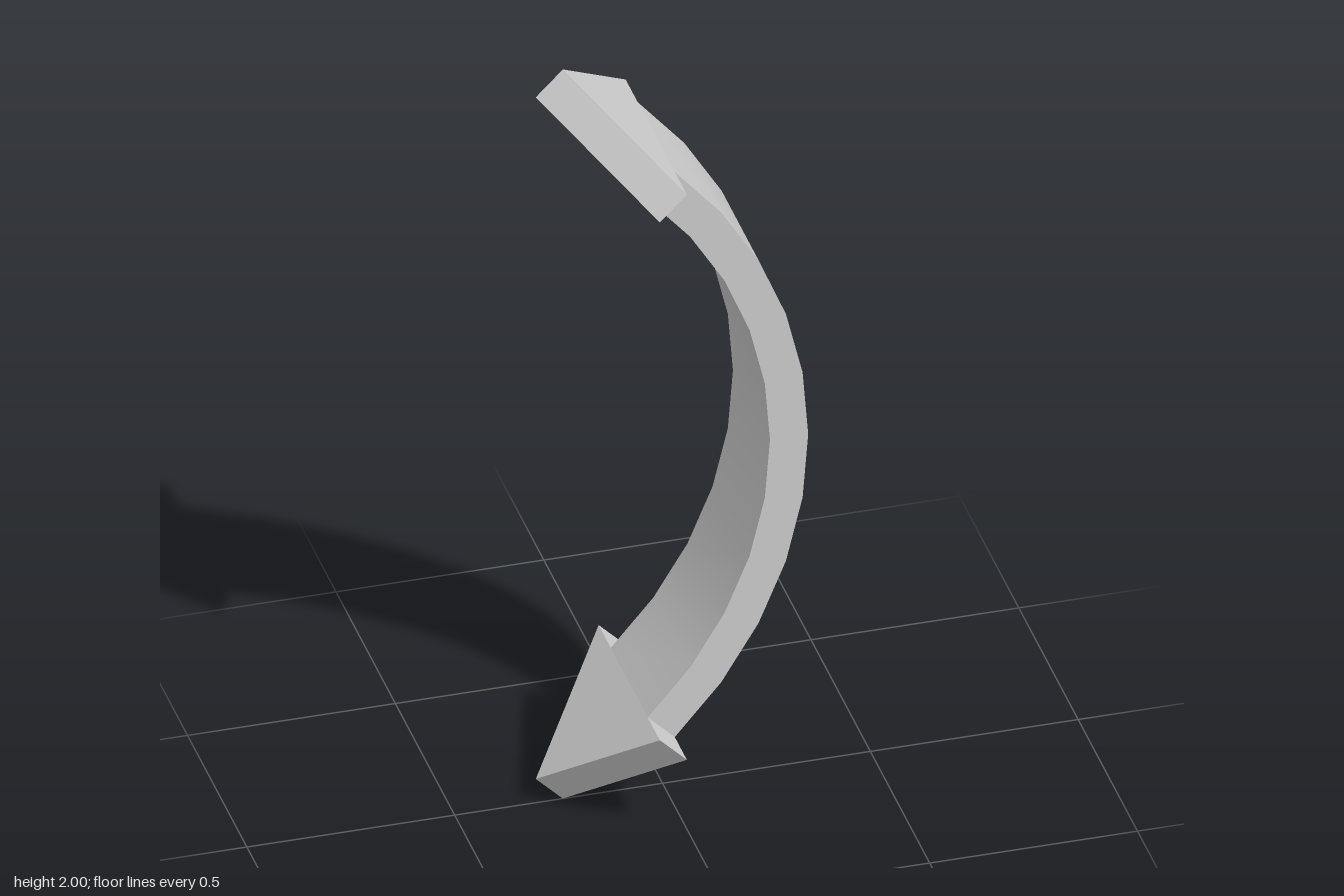
import * as THREE from 'three';
import { toCreasedNormals } from 'three/addons/utils/BufferGeometryUtils.js';

const OUTER = 1.096, INNER = 1.004;   // radii of the curved band
const CENTRE_X = -0.79, CENTRE_Y = 1; // centre of the arc
const HALF_SWEEP = Math.PI / 4, SEGMENTS = 10;
const BAND_WIDTH = 0.312, HEAD_HALF = 0.258, HEAD_LENGTH = 0.318;

// Points along the arc at a given radius, from bottom to top
function arcPoints(radius) {
  return Array.from({ length: SEGMENTS + 1 }, (_, i) => {
    const a = HALF_SWEEP * (2 * i / SEGMENTS - 1);
    return new THREE.Vector2(radius * Math.cos(a), radius * Math.sin(a));
  });
}

export function createModel() {
  const material = new THREE.MeshStandardMaterial({ color: 0xcccccc });
  const arrow = new THREE.Group();
  arrow.name = 'curvedDoubleArrow';
  arrow.position.set(CENTRE_X, CENTRE_Y, 0);

  // Curved band: smooth along the arc, sharp at its sides
  const profile = new THREE.Shape([...arcPoints(OUTER), ...arcPoints(INNER).reverse()]);
  const bandGeometry = new THREE.ExtrudeGeometry(profile, { depth: BAND_WIDTH, bevelEnabled: false });
  bandGeometry.translate(0, 0, -BAND_WIDTH / 2);
  const band = new THREE.Mesh(toCreasedNormals(bandGeometry, Math.PI / 6), material);
  band.name = 'curvedBand';
  arrow.add(band);

  // Triangular head, pointing along the tangent at the end of the arc
  const triangle = new THREE.Shape([
    new THREE.Vector2(-HEAD_HALF, 0),
    new THREE.Vector2(HEAD_HALF, 0),
    new THREE.Vector2(0, HEAD_LENGTH),
  ]);
  const headGeometry = new THREE.ExtrudeGeometry(triangle, { depth: OUTER - INNER, bevelEnabled: false });
  headGeometry.rotateY(Math.PI / 2);
  headGeometry.translate(INNER, 0, 0);
  headGeometry.rotateZ(HALF_SWEEP);

  // The lower head is the upper one turned over
  for (const [name, turn] of [['upperArrowhead', 0], ['lowerArrowhead', Math.PI]]) {
    const head = new THREE.Mesh(headGeometry, material);
    head.name = name;
    head.rotation.x = turn;
    arrow.add(head);
  }

  const model = new THREE.Group();
  model.name = 'model';
  model.add(arrow);
  return model;
}
